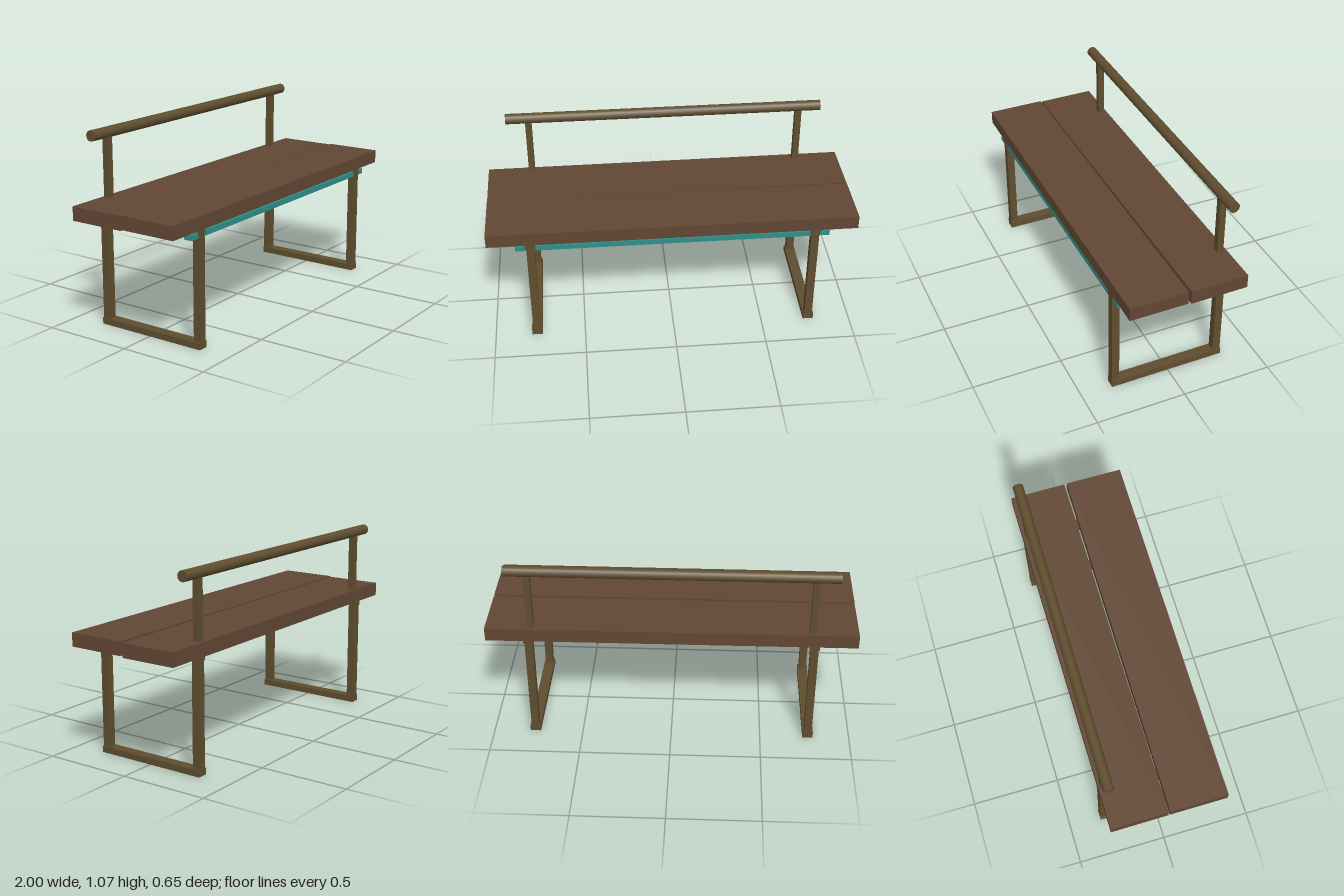
import * as THREE from 'three';

const wood = new THREE.MeshStandardMaterial({ color: 0x624734 });
const metal = new THREE.MeshStandardMaterial({ color: 0x5f4e2f });
const teal = new THREE.MeshStandardMaterial({ color: 0x2f918a });

// Box given by its extents on each axis
function box(name, material, [x0, x1], [y0, y1], [z0, z1]) {
  const mesh = new THREE.Mesh(new THREE.BoxGeometry(x1 - x0, y1 - y0, z1 - z0), material);
  mesh.position.set((x0 + x1) / 2, (y0 + y1) / 2, (z0 + z1) / 2);
  mesh.name = name;
  return mesh;
}

// Closed rectangular leg frame with a post for the back rail
function legFrame(side) {
  const frame = new THREE.Group();
  frame.name = side > 0 ? 'leftFrame' : 'rightFrame';
  const span = (centre, width) => [side * centre - width / 2, side * centre + width / 2];
  frame.add(
    box('footBar', metal, span(0.768, 0.058), [0, 0.035], [-0.32, 0.326]),
    box('seatBearer', metal, span(0.768, 0.055), [0.6, 0.632], [-0.32, 0.326]),
    box('frontLeg', metal, span(0.768, 0.043), [0.03, 0.61], [0.283, 0.325]),
    box('backLeg', metal, span(0.768, 0.043), [0.03, 0.61], [-0.319, -0.275]),
    box('backPost', metal, span(0.755, 0.035), [0.66, 1.03], [-0.307, -0.271]),
  );
  return frame;
}

export function createModel() {
  const bench = new THREE.Group();
  bench.name = 'bench';

  // Seat: two planks, the rear one slightly lower and askew
  const frontPlank = box('frontPlank', wood, [-1, 1], [0.627, 0.701], [0.007, 0.326]);
  const rearPlank = box('rearPlank', wood, [-1, 1], [0.621, 0.697], [-0.321, -0.005]);
  rearPlank.rotation.y = 0.004;
  bench.add(frontPlank, rearPlank);

  for (const side of [1, -1]) bench.add(legFrame(side));

  // Coloured bar along the front, under the seat
  bench.add(box('frontBar', teal, [-0.848, 0.846], [0.588, 0.618], [0.275, 0.322]));

  // Round back rail
  const rail = new THREE.Mesh(new THREE.CylinderGeometry(0.029, 0.029, 1.757, 16), metal);
  rail.rotation.z = Math.PI / 2;
  rail.position.set(-0.001, 1.041, -0.29);
  rail.name = 'backRail';
  bench.add(rail);

  return bench;
}
